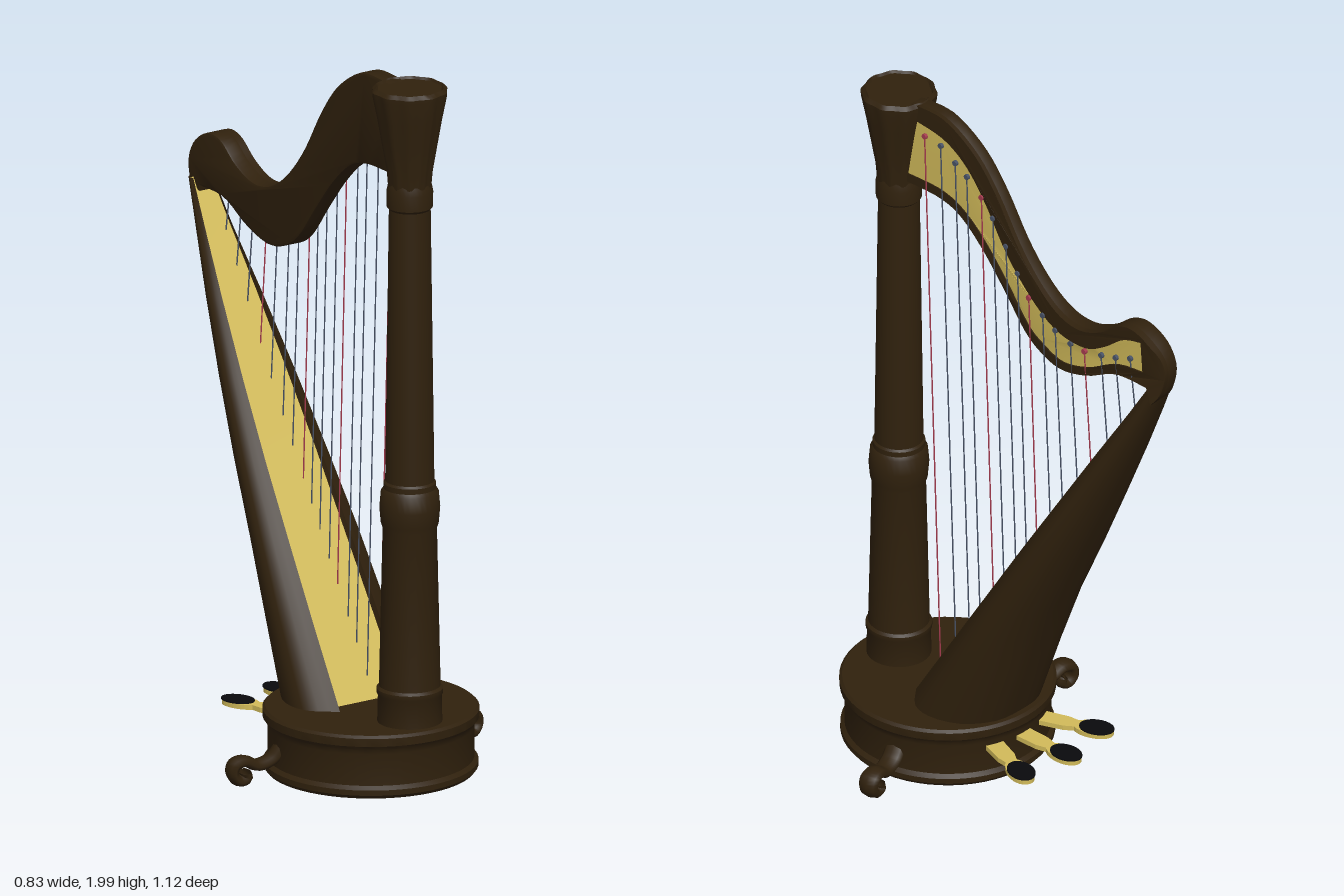
import * as THREE from 'three';
import { toCreasedNormals } from 'three/addons/utils/BufferGeometryUtils.js';

const mat = (name, color, side = THREE.FrontSide) => {
  const m = new THREE.MeshStandardMaterial({ color, side });
  m.name = name;
  return m;
};
const V2 = (p) => new THREE.Vector2(p[0], p[1]);
const TURN = 0.21;                 // the harp is turned about its column
const COLUMN = [0.05, 0.44];       // column x, z
const BASE = [0.01, 0.265];        // base x, z
const toLocal = (z) => (z - COLUMN[1]) / Math.cos(TURN);

export function createModel() {
  const wood = mat('dark wood', 0x30210d, THREE.DoubleSide);
  const gold = mat('gold', 0xd2bb5a, THREE.DoubleSide);
  const black = mat('black pad', 0x09090d);
  const red = mat('string red', 0xa83c50);
  const steel = mat('steel', 0x4a5468);

  const model = new THREE.Group();
  const harp = new THREE.Group();
  harp.name = 'harp';
  harp.position.set(COLUMN[0], 0, COLUMN[1]);
  harp.rotation.y = TURN;
  model.add(harp);
  const stand = new THREE.Group();
  stand.name = 'stand';
  stand.position.set(BASE[0], 0, BASE[1]);
  stand.rotation.y = TURN;
  model.add(stand);

  const add = (parent, name, geo, material) => {
    const mesh = new THREE.Mesh(geo, material);
    mesh.name = name;
    parent.add(mesh);
    return mesh;
  };
  const lathe = (pts, seg) => new THREE.LatheGeometry(pts.map(V2), seg);

  // Round base with raised rims
  add(stand, 'base', toCreasedNormals(lathe([
    [0, 0.01], [0.285, 0.01], [0.293, 0.02], [0.293, 0.035], [0.282, 0.045], [0.282, 0.135],
    [0.287, 0.15], [0.295, 0.16], [0.296, 0.183], [0.288, 0.19], [0, 0.19]], 56), 0.6), wood);

  // Two scrolled feet, swept slightly backwards
  const footPath = new THREE.CatmullRomCurve3([
    [0.27, 0.1], [0.297, 0.072], [0.34, 0.06], [0.378, 0.076], [0.407, 0.068],
    [0.412, 0.042], [0.394, 0.022], [0.372, 0.029], [0.375, 0.045]
  ].map(([r, y]) => new THREE.Vector3(r, y, 0)));
  for (const side of [1, -1]) {
    const geo = new THREE.TubeGeometry(footPath, 36, 0.016, 8);
    geo.scale(1, 1, 1.9);
    const foot = add(stand, side > 0 ? 'leftFoot' : 'rightFoot', geo, wood);
    foot.rotation.y = side > 0 ? 0.2 : Math.PI - 0.2;
  }

  // Three pedals fanned out at the back, each with a dark pad
  const paddle = new THREE.Shape();
  paddle.moveTo(-0.027, 0.25);
  paddle.lineTo(-0.025, 0.35);
  paddle.lineTo(-0.017, 0.38);
  paddle.bezierCurveTo(-0.044, 0.41, -0.038, 0.488, 0, 0.488);
  paddle.bezierCurveTo(0.038, 0.488, 0.044, 0.41, 0.017, 0.38);
  paddle.lineTo(0.025, 0.35);
  paddle.lineTo(0.027, 0.25);
  for (const a of [-0.35, 0, 0.35]) {
    const pedal = new THREE.Group();
    pedal.name = 'pedal';
    pedal.rotation.y = a;
    stand.add(pedal);
    const geo = new THREE.ExtrudeGeometry(paddle, { depth: 0.014, bevelEnabled: false });
    geo.rotateX(-Math.PI / 2);
    add(pedal, 'pedalLever', geo, gold).position.y = 0.109;
    const pad = new THREE.CylinderGeometry(1, 1, 0.004, 24);
    pad.scale(0.036, 1, 0.05);
    add(pedal, 'pedalPad', pad, black).position.set(0, 0.125, -0.44);
  }

  // Column with turned rings
  add(harp, 'column', toCreasedNormals(lathe([
    [0.089, 0.18], [0.087, 0.265], [0.091, 0.272], [0.091, 0.285], [0.084, 0.292],
    [0.074, 0.74], [0.079, 0.755], [0.083, 0.8], [0.079, 0.845], [0.072, 0.855], [0.072, 0.87],
    [0.067, 0.876], [0.057, 1.65], [0.063, 1.657], [0.064, 1.7], [0.06, 1.72], [0.055, 1.74]], 32), 0.6), wood);

  // Fluted, flaring capital
  const capital = lathe([[0.058, 1.7], [0.063, 1.76], [0.075, 1.83], [0.089, 1.91], [0.102, 1.975],
    [0.103, 1.988], [0.093, 1.998], [0.088, 1.991], [0, 1.991]], 60);
  const cp = capital.attributes.position;
  for (let i = 0; i < cp.count; i++) {
    const x = cp.getX(i), z = cp.getZ(i);
    const k = 1 + 0.025 * Math.cos(10 * Math.atan2(x, z));
    cp.setXYZ(i, x * k, cp.getY(i), z * k);
  }
  add(harp, 'capital', toCreasedNormals(capital, 0.6), wood);

  // Curved neck: flat profiles in z and y; its left side swells backwards and rounds off at the tip
  const neckWidth = (z) => (1 + 0.7 * THREE.MathUtils.smoothstep(-z, 0.4, 0.85))
    * (1 - 0.4 * THREE.MathUtils.smoothstep(-z, 0.97, 1.02));
  const trace = (path, [upper, lower]) => {
    const [up, low] = [upper, lower].map((side) => side.map(([z, y]) => new THREE.Vector2(-toLocal(z), y)));
    path.moveTo(up[0].x, up[0].y);
    path.splineThru(up.slice(1));
    path.lineTo(low[0].x, low[0].y);
    path.splineThru(low.slice(1));
    return path;
  };
  const neckSlab = (shape, options, x0) => {
    const geo = new THREE.ExtrudeGeometry(shape, { curveSegments: 4, ...options });
    geo.rotateY(Math.PI / 2);
    geo.translate(x0, 0, 0);
    const p = geo.attributes.position;
    for (let i = 0; i < p.count; i++) {
      if (p.getX(i) > 0) p.setX(i, p.getX(i) * neckWidth(p.getZ(i)));
    }
    return toCreasedNormals(geo, 0.7);
  };
  const outline = [
    [[0.40, 1.985], [0.342, 1.995], [0.246, 1.99], [0.14, 1.926], [0.061, 1.83], [-0.019, 1.70],
      [-0.098, 1.608], [-0.177, 1.555], [-0.257, 1.545], [-0.336, 1.576], [-0.40, 1.624],
      [-0.458, 1.632], [-0.522, 1.597], [-0.553, 1.534], [-0.54, 1.46], [-0.515, 1.42]],
    [[-0.50, 1.47], [-0.39, 1.465], [-0.283, 1.412], [-0.188, 1.386], [-0.114, 1.40], [-0.045, 1.444],
      [0.034, 1.544], [0.114, 1.64], [0.193, 1.709], [0.273, 1.735], [0.40, 1.735]]];
  const panel = [
    [[0.385, 1.94], [0.342, 1.943], [0.246, 1.926], [0.167, 1.873], [0.098, 1.783], [0.024, 1.661],
      [-0.07, 1.56], [-0.167, 1.502], [-0.273, 1.497], [-0.347, 1.534], [-0.416, 1.587], [-0.48, 1.606]],
    [[-0.487, 1.513], [-0.39, 1.497], [-0.283, 1.438], [-0.188, 1.412], [-0.114, 1.433], [-0.056, 1.47],
      [0.019, 1.566], [0.098, 1.661], [0.177, 1.73], [0.262, 1.762], [0.385, 1.762]]];
  add(harp, 'neck', neckSlab(trace(new THREE.Shape(), outline),
    { depth: 0.03, bevelThickness: 0.007, bevelSize: 0.007, bevelOffset: -0.007, bevelSegments: 2 }, -0.016), wood);
  const rim = trace(new THREE.Shape(), outline);
  rim.holes.push(trace(new THREE.Path(), panel));
  add(harp, 'neckRim', neckSlab(rim, { depth: 0.013, bevelEnabled: false }, 0.014), wood);
  add(harp, 'neckPlate', neckSlab(trace(new THREE.Shape(), panel), { depth: 0.004, bevelEnabled: false }, 0.02), gold);

  // Soundbox: y, front z, back z, front half width, greatest half width
  const rows = [
    [0.18, -0.163, -0.447, 0.113, 0.192],
    [0.40, -0.30, -0.525, 0.107, 0.18],
    [0.60, -0.424, -0.604, 0.10, 0.163],
    [0.80, -0.548, -0.70, 0.092, 0.141],
    [1.00, -0.673, -0.792, 0.079, 0.115],
    [1.20, -0.797, -0.884, 0.062, 0.084],
    [1.36, -0.897, -0.955, 0.045, 0.056],
    [1.49, -0.975, -1.008, 0.032, 0.036]];
  const recess = 0.37;   // depth of the soundboard behind the rims, per half width
  const loft = (rings) => {
    const n = rings[0].length, index = [];
    for (let i = 0; i < rings.length - 1; i++) {
      for (let j = 0; j < n - 1; j++) {
        const a = i * n + j, b = a + 1, c = a + n, d = c + 1;
        index.push(a, c, b, b, c, d);
      }
    }
    const geo = new THREE.BufferGeometry().setFromPoints(rings.flat());
    geo.setIndex(index);
    geo.computeVertexNormals();
    return geo;
  };
  add(harp, 'soundbox', loft(rows.map(([y, front, back, wf, wm]) => {
    const d = back - front;
    const half = [[wf, 0], [wm * 0.92, 0.2], [wm, 0.42], [wm * 0.85, 0.74], [wm * 0.45, 0.96]];
    const left = half.map(([x, t]) => new THREE.Vector3(-x, y, front + d * t));
    const right = half.map(([x, t]) => new THREE.Vector3(x, y, front + d * t)).reverse();
    return new THREE.CatmullRomCurve3([...left, new THREE.Vector3(0, y, back), ...right]).getPoints(30);
  })), wood);
  add(harp, 'soundboard', loft(rows.map(([y, front, , wf]) =>
    [1, -1].map((s) => new THREE.Vector3(s * wf * 1.06, y, front - recess * wf)))), gold);

  // Strings run from pins on the neck plate down to the soundboard
  const pins = [[0.32, 1.91], [0.262, 1.905], [0.209, 1.873], [0.167, 1.847], [0.114, 1.804], [0.072, 1.756],
    [0.024, 1.687], [-0.019, 1.619], [-0.061, 1.56], [-0.114, 1.528], [-0.162, 1.502], [-0.22, 1.486],
    [-0.273, 1.486], [-0.336, 1.502], [-0.389, 1.518], [-0.442, 1.539]];
  pins.forEach(([zw, y], i) => {
    const z = toLocal(zw), x = 0.024 * neckWidth(z);
    const tone = i % 4 === 0 ? red : steel;
    const pin = add(harp, 'tuningPin', new THREE.CylinderGeometry(0.008, 0.008, 0.014, 8), tone);
    pin.rotation.z = Math.PI / 2;
    pin.position.set(x + 0.002, y, z);
    const yEnd = (-0.051 - z + 0.035 * y) / 0.657 - 0.05;
    const path = new THREE.LineCurve3(
      new THREE.Vector3(x + 0.005, y, z),
      new THREE.Vector3(0.028, yEnd, z - 0.035 * (y - yEnd)));
    add(harp, 'string', new THREE.TubeGeometry(path, 1, 0.002, 6), tone);
  });

  return model;
}
